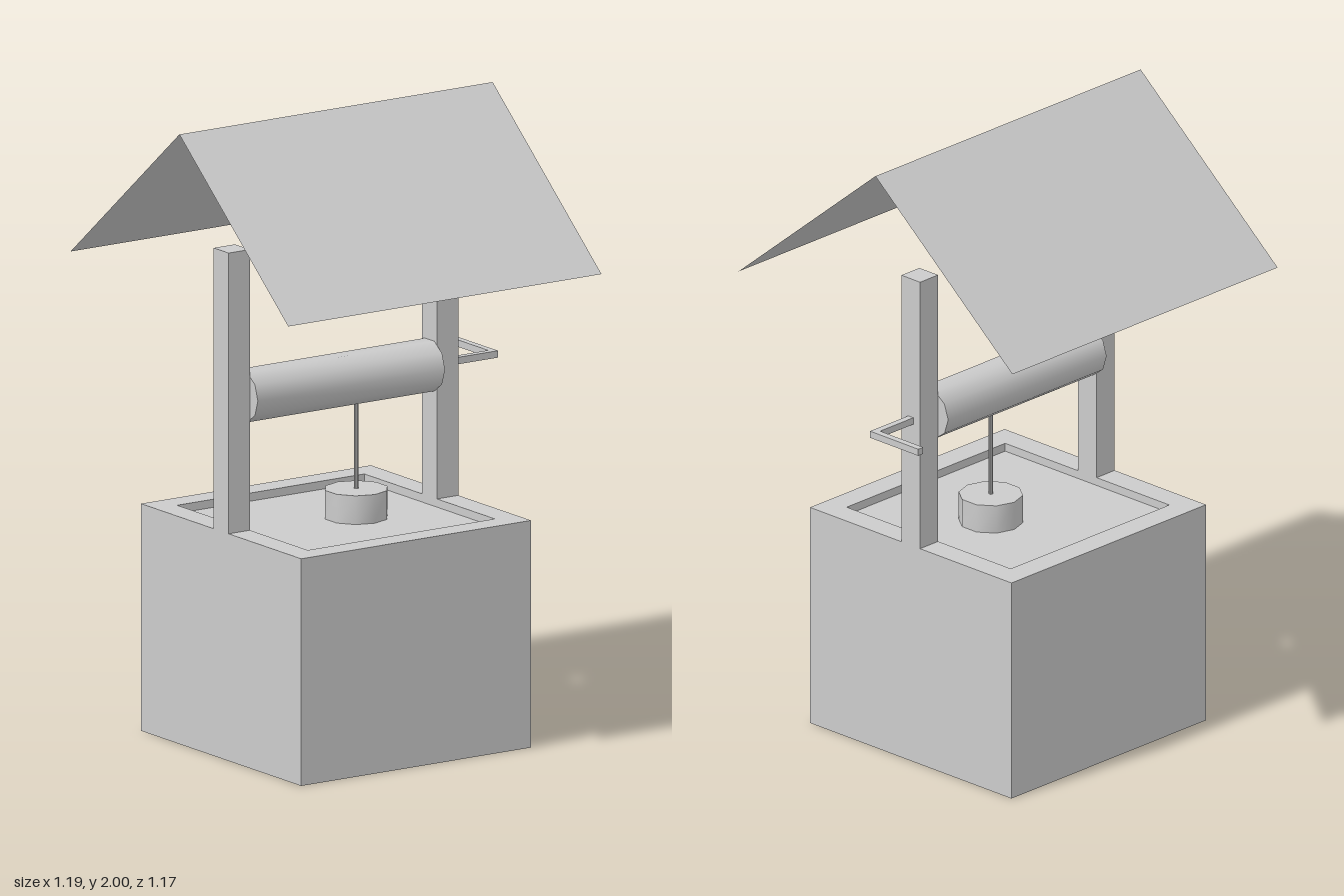
import * as THREE from 'three';
import { toCreasedNormals } from 'three/addons/utils/BufferGeometryUtils.js';

export function createModel() {
  const well = new THREE.Group();
  well.name = 'well';

  const grey = new THREE.MeshStandardMaterial({ color: 0xcccccc });
  grey.name = 'plainGrey';
  const roofGrey = grey.clone();
  roofGrey.name = 'plainGreyTwoSided';
  roofGrey.side = THREE.DoubleSide;

  const CX = -0.008; // middle of the structure; the crank sticks out to +x
  const DRUM_Y = 1.138;

  const add = (name, geometry, x, y, z, material = grey) => {
    const mesh = new THREE.Mesh(geometry, material);
    mesh.name = name;
    mesh.position.set(x, y, z);
    well.add(mesh);
    return mesh;
  };
  const box = (name, w, h, d, x, y, z) => add(name, new THREE.BoxGeometry(w, h, d), x, y, z);
  // ten-sided rod, smooth around and sharp at the ends
  const rod = (r, h) => toCreasedNormals(new THREE.CylinderGeometry(r, r, h, 10), 0.8);

  // square base with a shallow recess inside the rim
  const SIZE = 0.862, RIM = 0.08, TOP = 0.72, FLOOR = 0.694;
  box('base', SIZE, FLOOR, SIZE, CX, FLOOR / 2, 0);
  const square = (half, Type) => new Type([
    new THREE.Vector2(-half, -half), new THREE.Vector2(half, -half),
    new THREE.Vector2(half, half), new THREE.Vector2(-half, half),
  ]);
  const rimShape = square(SIZE / 2, THREE.Shape);
  rimShape.holes.push(square(SIZE / 2 - RIM, THREE.Path));
  const rimGeometry = new THREE.ExtrudeGeometry(rimShape, { depth: TOP - FLOOR, bevelEnabled: false });
  rimGeometry.rotateX(-Math.PI / 2);
  add('rim', rimGeometry, CX, FLOOR, 0);

  // posts on the rim
  for (const [name, side] of [['leftPost', 1], ['rightPost', -1]]) {
    box(name, 0.08, 1.61 - TOP, 0.08, CX + side * (SIZE / 2 - 0.04), (1.61 + TOP) / 2, 0);
  }

  // winding drum between the posts
  const drum = rod(0.083, SIZE - 0.16);
  drum.rotateZ(Math.PI / 2);
  add('drum', drum, CX, DRUM_Y, 0);

  // rope and bucket
  add('rope', rod(0.007, 0.35), 0.068, 0.935, 0);
  add('bucket', rod(0.1, 0.091), 0.068, 0.7395, 0);

  // crank: axle out of the left post, then an arm towards the back
  const T = 0.022;
  box('crankAxle', 0.17, T, T, 0.507, DRUM_Y, 0);
  box('crankArm', T, T, 0.195 + T / 2, 0.581, DRUM_Y, -0.092);

  // gable roof of two thin sheets
  const RUN = 0.586, RISE = 0.49;
  for (const [name, side] of [['frontRoof', 1], ['backRoof', -1]]) {
    const sheet = new THREE.PlaneGeometry(1.175, Math.hypot(RUN, RISE));
    sheet.rotateX(-Math.atan2(RUN, RISE));
    if (side < 0) sheet.rotateY(Math.PI);
    add(name, sheet, CX, 2 - RISE / 2, side * RUN / 2, roofGrey);
  }

  return well;
}
